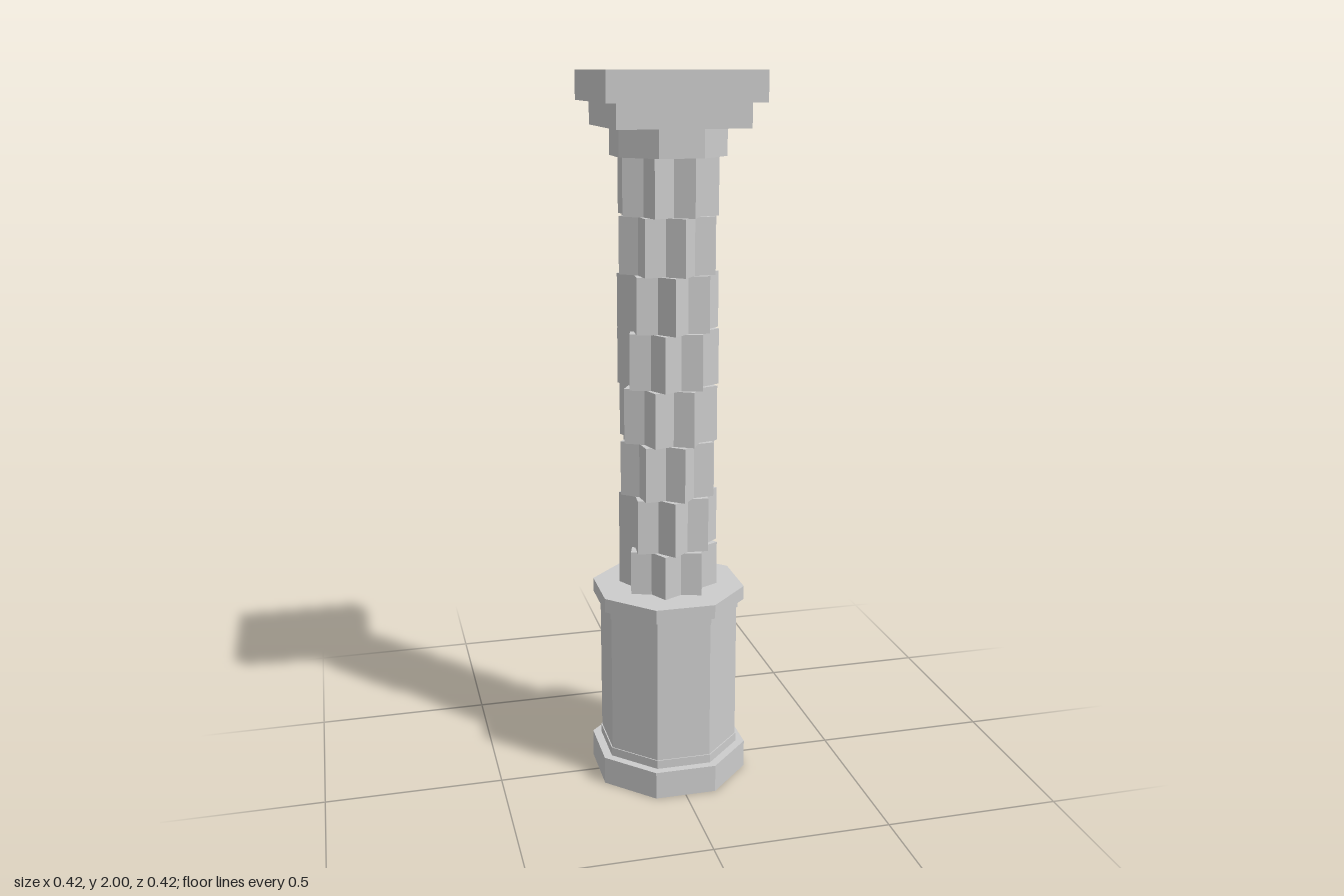
import * as THREE from 'three';

export function createModel() {
  const model = new THREE.Group();
  const stone = new THREE.MeshStandardMaterial({ color: 0xcccccc });
  stone.name = 'greyStone';

  function add(name, geometry, y) {
    const mesh = new THREE.Mesh(geometry, stone);
    mesh.name = name;
    mesh.position.y = y;
    model.add(mesh);
    return mesh;
  }

  // upright prism on a ring of points whose radii alternate; first point faces +z
  function prism(radii, count, height, turn = 0) {
    const points = [];
    for (let i = 0; i < count; i++) {
      const a = turn - Math.PI / 2 + (i / count) * Math.PI * 2;
      const r = radii[i % radii.length];
      points.push(new THREE.Vector2(Math.cos(a) * r, Math.sin(a) * r));
    }
    const geometry = new THREE.ExtrudeGeometry(new THREE.Shape(points), { depth: height, bevelEnabled: false });
    return geometry.rotateX(-Math.PI / 2);
  }

  // octagon with a flat side to the front, sized from centre to flat
  function octagon(name, flat, y0, y1) {
    const radius = flat / Math.cos(Math.PI / 8);
    add(name, prism([radius], 8, y1 - y0, Math.PI / 8), y0);
  }

  function slab(name, width, y0, y1) {
    add(name, new THREE.BoxGeometry(width, y1 - y0, width), (y0 + y1) / 2);
  }

  // pedestal
  octagon('pedestalFoot', 0.21, 0, 0.08);
  octagon('pedestalLowerBand', 0.187, 0.08, 0.105);
  octagon('pedestalBody', 0.184, 0.08, 0.53);
  octagon('pedestalUpperBand', 0.187, 0.505, 0.53);
  octagon('pedestalCap', 0.203, 0.53, 0.57);

  // shaft of eight-pointed star drums, each turned a quarter tooth further
  const tip = 0.14;
  const valley = tip * Math.SQRT1_2 / Math.cos(Math.PI / 8);
  const drums = 8, bottom = 0.54, drumHeight = 0.155;
  const step = Math.PI / 16;
  for (let i = 0; i < drums; i++) {
    const drum = add('shaftDrum' + (i + 1), prism([tip, valley], 16, drumHeight), bottom + i * drumHeight);
    drum.rotation.y = (i - 1.5) * step;
  }

  // capital
  octagon('capitalNeck', 0.147, 1.78, 1.855);
  slab('capitalLowerSlab', 0.356, 1.855, 1.92);
  slab('capitalTopSlab', 0.42, 1.92, 2);

  return model;
}
